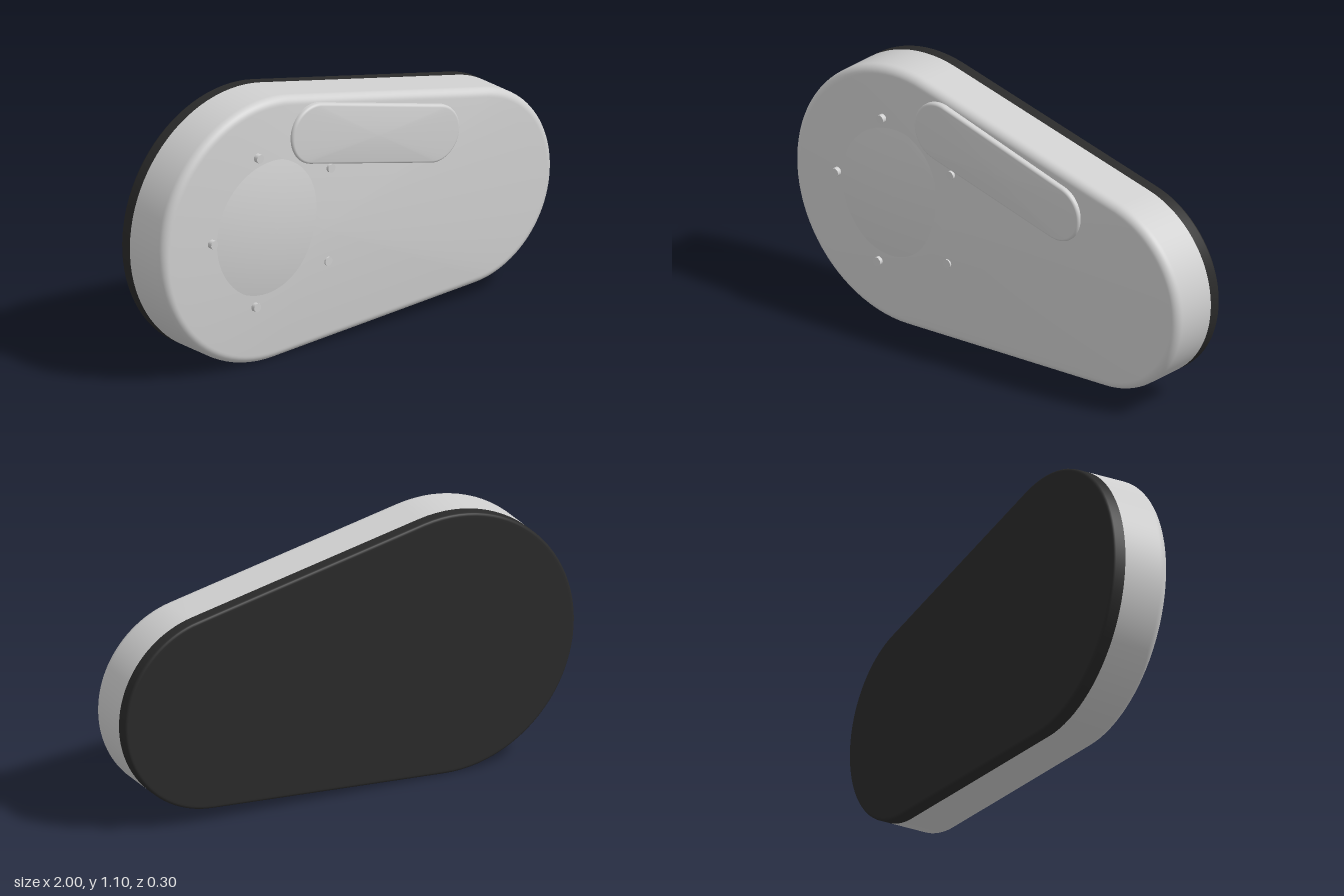
import * as THREE from 'three';

// Tapered capsule outline: two round ends joined by their outer tangents.
// An inset shrinks both ends; points run counter-clockwise seen from +z.
function capsule(x1, y1, r1, x2, y2, r2, inset) {
  const a = Math.atan2(y2 - y1, x2 - x1);
  const phi = Math.acos((r1 - r2) / Math.hypot(x2 - x1, y2 - y1));
  const arcSteps = 48, lineSteps = 10, pts = [];
  const arc = (x, y, r, from, to) => {
    for (let i = 0; i <= arcSteps; i++) {
      const t = from + (to - from) * i / arcSteps;
      pts.push(new THREE.Vector2(x + (r - inset) * Math.cos(t), y + (r - inset) * Math.sin(t)));
    }
  };
  const line = (p, q) => {
    for (let i = 1; i < lineSteps; i++) pts.push(p.clone().lerp(q, i / lineSteps));
  };
  arc(x2, y2, r2, a - phi, a + phi);
  const start = pts[0], bigStart = new THREE.Vector2(
    x1 + (r1 - inset) * Math.cos(a + phi), y1 + (r1 - inset) * Math.sin(a + phi));
  line(pts[pts.length - 1], bigStart);
  arc(x1, y1, r1, a + phi, a + 2 * Math.PI - phi);
  line(pts[pts.length - 1], start);
  return pts;
}

// Skin a stack of closed rings, listed from back to front
function loft(rings) {
  const n = rings[0].pts.length, pos = [], idx = [];
  for (const { pts, z } of rings) for (const p of pts) pos.push(p.x, p.y, z);
  for (let i = 0; i < rings.length - 1; i++) {
    for (let j = 0; j < n; j++) {
      const k = (j + 1) % n, a = i * n + j, b = i * n + k, c = b + n, d = a + n;
      idx.push(a, b, c, a, c, d);
    }
  }
  const g = new THREE.BufferGeometry();
  g.setAttribute('position', new THREE.Float32BufferAttribute(pos, 3));
  g.setIndex(idx);
  g.computeVertexNormals();
  return g;
}

// Straight wall, rounded front edge and a gently crowned front face
function crownedRings(outline, zBack, zEdge, round, crown, centre) {
  const rings = [{ pts: outline(0), z: zBack }, { pts: outline(0), z: zEdge - round - 0.004 }];
  for (let i = 0; i <= 8; i++) {
    const t = i / 8 * Math.PI / 2;
    rings.push({ pts: outline(round * (1 - Math.cos(t))), z: zEdge - round * (1 - Math.sin(t)) });
  }
  const edge = outline(round);
  for (let i = 1; i <= 16; i++) {
    const t = 1 - i / 16;
    rings.push({
      pts: edge.map(p => centre.clone().lerp(p, t)),
      z: zEdge + crown * (1 - Math.pow(t, 1.6)),
    });
  }
  return rings;
}

export function createModel() {
  const group = new THREE.Group();
  const silver = new THREE.MeshStandardMaterial({ color: 0xd0d0d0 });
  silver.name = 'silver';
  const black = new THREE.MeshStandardMaterial({ color: 0x2a2a2a });
  black.name = 'black';
  const add = (name, geometry, material) => {
    const mesh = new THREE.Mesh(geometry, material);
    mesh.name = name;
    group.add(mesh);
    return mesh;
  };

  const shell = inset => capsule(-0.45, 0.55, 0.55, 0.59, 0.465, 0.41, inset);
  const pad = inset => capsule(-0.23, 0.91, 0.125, 0.385, 0.755, 0.12, inset);

  // Cover shell
  add('coverShell', loft(crownedRings(shell, -0.095, 0.108, 0.035, 0.028,
    new THREE.Vector2(-0.2, 0.5))), silver);

  // Dark backing plate with a small rounded rear edge
  const back = [{ pts: shell(0).map(() => new THREE.Vector2(-0.1, 0.52)), z: -0.15 },
    { pts: shell(0.02), z: -0.15 }];
  for (let i = 0; i <= 4; i++) {
    const t = i / 4 * Math.PI / 2;
    back.push({ pts: shell(0.012 * (1 - Math.sin(t))), z: -0.138 - 0.012 * Math.cos(t) });
  }
  back.push({ pts: shell(0), z: -0.095 });
  add('backingPlate', loft(back), black);

  // Raised slanted pad
  add('raisedPad', loft(crownedRings(pad, 0.09, 0.131, 0.012, 0.009,
    new THREE.Vector2(0.08, 0.83))), silver);

  // Shallow round dome
  const profile = [];
  for (let i = 0; i <= 16; i++) {
    const t = 1 - i / 16;
    profile.push(new THREE.Vector2(0.285 * t, 0.027 * (1 - t * t)));
  }
  const dome = add('roundDome', new THREE.LatheGeometry(profile, 64), silver);
  dome.rotation.x = Math.PI / 2;
  dome.position.set(-0.45, 0.565, 0.123);

  // Small pins around the dome
  const pins = [[-0.525, 0.88], [-0.76, 0.575], [-0.54, 0.255], [-0.175, 0.36], [-0.16, 0.75]];
  for (const [x, y] of pins) {
    const pin = add('pin', new THREE.CylinderGeometry(0.018, 0.018, 0.05, 20), silver);
    pin.rotation.x = Math.PI / 2;
    pin.position.set(x, y, 0.114);
  }
  return group;
}
